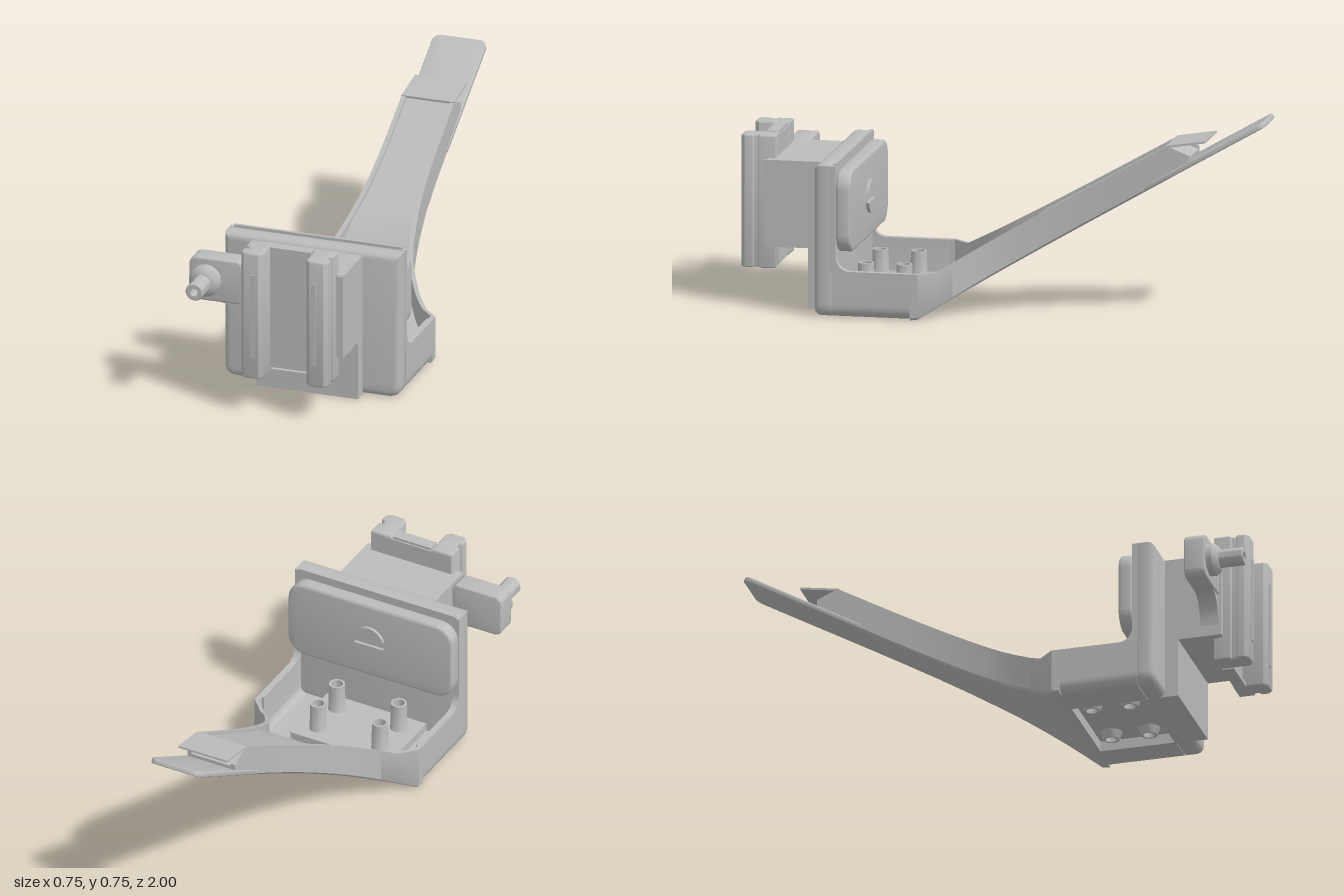
import * as THREE from 'three';
import { toCreasedNormals } from 'three/addons/utils/BufferGeometryUtils.js';

const grey = new THREE.MeshStandardMaterial({ color: 0xbcbcbc, side: THREE.DoubleSide });
grey.name = 'grey';

const poly = pts => new THREE.Shape(pts.map(p => new THREE.Vector2(p[0], p[1])));

function roundRect(x0, y0, x1, y1, r) {
  const s = new THREE.Shape();
  s.moveTo(x0 + r, y0);
  s.lineTo(x1 - r, y0); s.absarc(x1 - r, y0 + r, r, -Math.PI / 2, 0);
  s.lineTo(x1, y1 - r); s.absarc(x1 - r, y1 - r, r, 0, Math.PI / 2);
  s.lineTo(x0 + r, y1); s.absarc(x0 + r, y1 - r, r, Math.PI / 2, Math.PI);
  s.lineTo(x0, y0 + r); s.absarc(x0 + r, y0 + r, r, Math.PI, Math.PI * 1.5);
  return s;
}

function hole(shape, x, y, r) {
  shape.holes.push(new THREE.Path().absarc(x, y, r, 0, Math.PI * 2, true));
}

// Extrusion whose total depth includes its bevels, starting at z = 0
function extrude(shape, depth, bevel = 0) {
  const g = new THREE.ExtrudeGeometry(shape, {
    depth: depth - 2 * bevel, bevelEnabled: bevel > 0, bevelSize: bevel,
    bevelThickness: bevel, bevelOffset: -bevel, bevelSegments: 3, curveSegments: 10,
  });
  return g.translate(0, 0, bevel);
}

// U-shaped channel lofted through stations [z, halfWidth, bottom, top, floor]
function channel(stations, wall, c) {
  const pos = [], idx = [], n = 10;
  for (const [z, w, b, t, f] of stations) {
    const i = w - wall;
    for (const [x, y] of [[-w, t], [-w, b + c], [-w + c, b], [w - c, b], [w, b + c],
      [w, t], [i, t], [i, f], [-i, f], [-i, t]]) pos.push(x, y, z);
  }
  for (let s = 0; s < stations.length - 1; s++) {
    for (let k = 0; k < n; k++) {
      const a = s * n + k, b = s * n + (k + 1) % n;
      idx.push(a, a + n, b, b, a + n, b + n);
    }
  }
  const e = (stations.length - 1) * n;
  for (const [a, b, c2] of [[0, 1, 9], [1, 8, 9], [1, 2, 8], [2, 3, 8], [3, 7, 8], [3, 4, 7], [4, 6, 7], [4, 5, 6]]) {
    idx.push(a, b, c2, e + a, e + c2, e + b);
  }
  const g = new THREE.BufferGeometry();
  g.setAttribute('position', new THREE.Float32BufferAttribute(pos, 3));
  g.setIndex(idx);
  return g;
}

export function createModel() {
  const group = new THREE.Group();
  group.position.x = 0.03;
  const add = (name, g, x = 0, y = 0, z = 0, parent = group) => {
    const m = new THREE.Mesh(toCreasedNormals(g, 0.6), grey);
    m.name = name;
    m.position.set(x, y, z);
    parent.add(m);
    return m;
  };
  const box = (name, x0, x1, y0, y1, z0, z1) =>
    add(name, new THREE.BoxGeometry(x1 - x0, y1 - y0, z1 - z0), (x0 + x1) / 2, (y0 + y1) / 2, (z0 + z1) / 2);

  // Rising arm: flared at the tray, narrow at the tip
  const plan = [[0.26, 0.345], [0.2, 0.288], [0.15, 0.246], [0.08, 0.203], [0.02, 0.172], [-0.05, 0.15],
    [-0.12, 0.135], [-0.2, 0.121], [-0.3, 0.11], [-0.42, 0.105], [-0.52, 0.104], [-0.63, 0.103]];
  const stations = plan.map(([z, w]) => {
    const b = 0.005 + (0.26 - z) * 0.58;
    const t = 0.175 + Math.max(0, 0.2 - z) * 0.57;
    const cover = THREE.MathUtils.clamp((0.02 - z) / 0.12, 0, 1);
    return [z, w, b, t, THREE.MathUtils.lerp(b + 0.03, t - 0.012, cover)];
  });
  stations.unshift([0.29, 0.345, 0, 0.175, 0.03]);
  stations.push([-0.71, 0.1, 0.57, 0.615, 0.605]);
  add('arm', channel(stations, 0.018, 0.008));

  // Tip plate under the arm end, with a screw hole
  const tip = roundRect(-0.105, 0, 0.105, 0.541, 0.03);
  hole(tip, 0, 0.11, 0.02);
  add('tipPlate', extrude(tip, 0.02, 0.004), 0, 0.465, -0.53).rotation.x = 0.522 - Math.PI / 2;
  add('tipFlap', new THREE.BoxGeometry(0.206, 0.008, 0.15), 0, 0.657, -0.70).rotation.x = 0.16;

  // Tray side walls with rounded lower edge, rising to the front wall
  for (const s of [-1, 1]) {
    const L = new THREE.Shape();
    L.moveTo(s * 0.345, 0.175);
    L.lineTo(s * 0.345, 0.05);
    L.quadraticCurveTo(s * 0.345, 0, s * 0.295, 0);
    L.lineTo(s * 0.2, 0);
    L.lineTo(s * 0.2, 0.03);
    L.lineTo(s * 0.29, 0.03);
    L.quadraticCurveTo(s * 0.32, 0.03, s * 0.32, 0.06);
    L.lineTo(s * 0.32, 0.175);
    add('traySide', extrude(L, 0.3), 0, 0, 0.285);
    const fillet = new THREE.Shape();
    fillet.moveTo(0.52, 0.17);
    fillet.lineTo(0.52, 0.175);
    fillet.quadraticCurveTo(0.565, 0.18, 0.57, 0.23);
    fillet.lineTo(0.57, 0.57);
    fillet.lineTo(0.59, 0.57);
    fillet.lineTo(0.59, 0.17);
    add('sideFillet', extrude(fillet, 0.025).rotateY(-Math.PI / 2), s > 0 ? 0.345 : -0.32);
    box('recessSide', s * 0.2 - 0.008, s * 0.2 + 0.008, 0, 0.06, 0.285, 0.58);
  }
  box('recessBack', -0.2, 0.2, 0, 0.06, 0.28, 0.295);

  // Raised tray floor and its four hollow posts
  const floor = poly([[-0.2, -0.58], [0.2, -0.58], [0.2, -0.285], [-0.2, -0.285]]);
  for (const x of [-0.13, 0.13]) for (const z of [0.355, 0.5]) {
    hole(floor, x, -z, 0.022);
    const profile = [[0.022, 0.012], [0.03, 0.012], [0.042, 0.04], [0.032, 0.062], [0.03, 0.17], [0.022, 0.17], [0.022, 0.012]];
    add('post', new THREE.LatheGeometry(profile.map(p => new THREE.Vector2(...p)), 20), x, 0, z);
  }
  add('trayFloor', extrude(floor, 0.02).rotateX(-Math.PI / 2), 0, 0.04);

  // Front wall: rounded lower corners, bevelled front edge
  const wall = new THREE.Shape();
  wall.moveTo(-0.345, 0.57);
  wall.lineTo(-0.345, 0.05);
  wall.quadraticCurveTo(-0.345, 0, -0.295, 0);
  wall.lineTo(0.295, 0);
  wall.quadraticCurveTo(0.345, 0, 0.345, 0.05);
  wall.lineTo(0.345, 0.57);
  add('frontWall', extrude(wall, 0.085, 0.025), 0, 0, 0.57);
  box('wallLip', -0.33, 0.33, 0.54, 0.577, 0.57, 0.582);

  // Inner pad with a slotted knob
  add('pad', extrude(roundRect(-0.345, 0.24, 0.345, 0.55, 0.07), 0.055, 0.01), 0, 0, 0.515);
  for (const s of [0, Math.PI]) {
    const half = new THREE.Shape().absarc(0, 0, 0.062, 0.25, Math.PI - 0.25);
    add('knobHalf', extrude(half, 0.02), 0, 0.395, 0.503).rotation.z = s;
  }

  // Front mount and connector block
  box('mount', -0.2, 0.2, 0, 0.23, 0.58, 0.705);
  box('connector', -0.2, 0.2, 0.228, 0.555, 0.64, 0.86);

  // Side bracket with its curved gusset
  add('bracket', extrude(roundRect(-0.405, 0.383, -0.195, 0.553, 0.03), 0.08, 0.006), 0, 0, 0.785);
  const gusset = new THREE.Shape();
  gusset.moveTo(-0.28, 0.4);
  gusset.lineTo(-0.28, 0.383);
  gusset.quadraticCurveTo(-0.21, 0.375, -0.2, 0.27);
  gusset.lineTo(-0.19, 0.27);
  gusset.lineTo(-0.19, 0.4);
  add('gusset', extrude(gusset, 0.07), 0, 0, 0.79);

  // Hollow spigot on the bracket
  const spigot = [[0.015, 0], [0.06, 0], [0.06, 0.025], [0.048, 0.04], [0.034, 0.045], [0.034, 0.132], [0.03, 0.137], [0.015, 0.137], [0.015, 0]];
  add('spigot', new THREE.LatheGeometry(spigot.map(p => new THREE.Vector2(...p)), 28).rotateX(Math.PI / 2), -0.338, 0.468, 0.863);

  // Clamp head: back plate, two grooved columns and end bars
  box('clampPlate', -0.165, 0.165, 0.15, 0.63, 0.835, 0.87);
  for (const s of [-1, 1]) {
    const column = poly([[0.085, 0.835], [0.17, 0.835], [0.17, 0.895], [0.155, 0.9], [0.155, 0.915], [0.17, 0.92],
      [0.17, 0.95], [0.155, 0.965], [0.1, 0.965], [0.085, 0.95]].map(([x, z]) => [s * x, -z]));
    add('clampColumn', extrude(column, 0.5, 0.006).rotateX(-Math.PI / 2), 0, 0.14);
    box('columnRail', s * 0.118 - 0.008, s * 0.118 + 0.008, 0.225, 0.555, 0.96, 0.97);
    box('columnEdge', s * 0.187 - 0.013, s * 0.187 + 0.013, 0.23, 0.553, 0.84, 0.87);
  }
  for (const y of [0.14, 0.625]) box('endBar', -0.08, 0.08, y, y + 0.015, 0.84, 0.885);

  return group;
}
